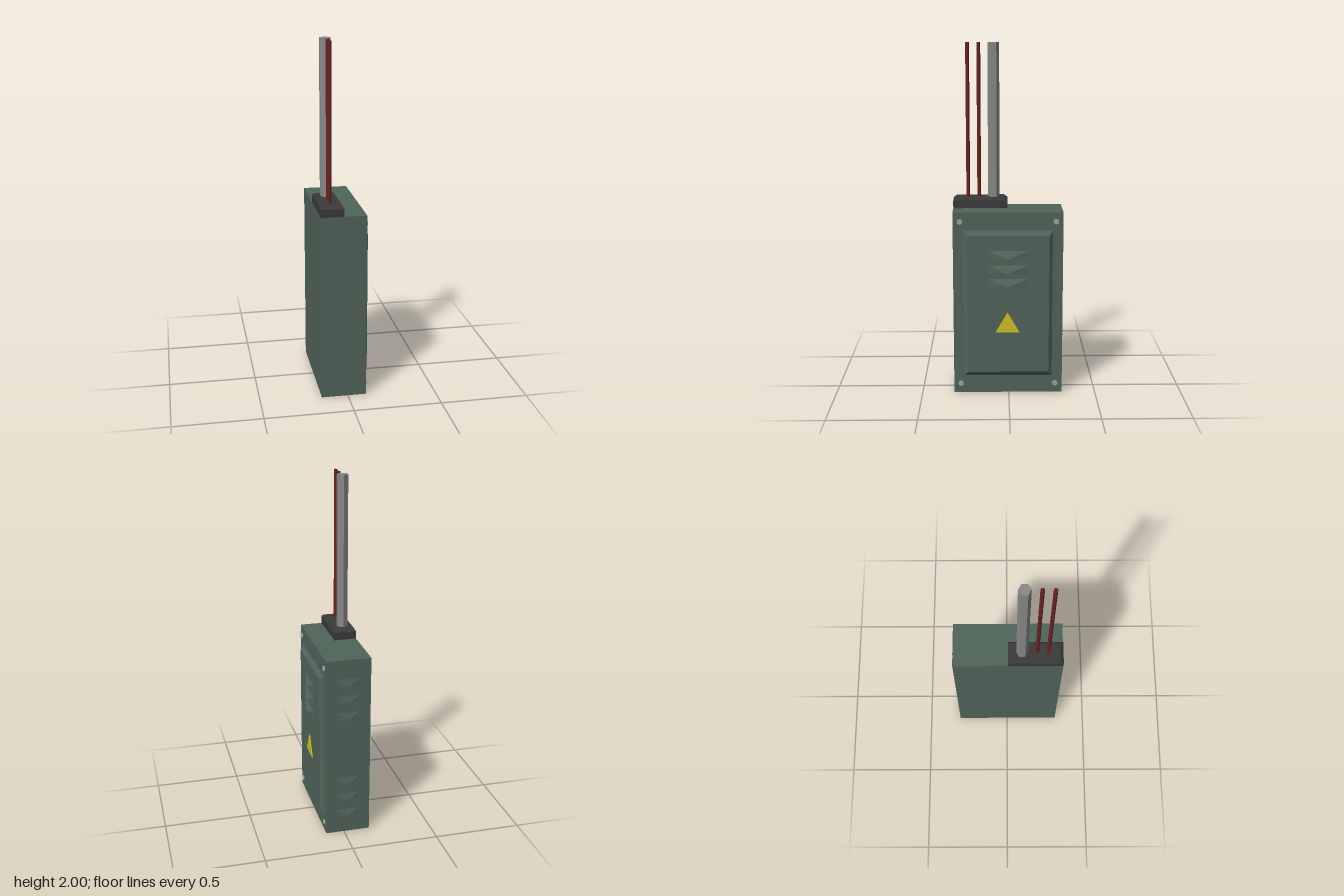
import * as THREE from 'three';

const mat = (color, extra = {}) => new THREE.MeshStandardMaterial({ color, flatShading: true, ...extra });

// Box based at z = 0 whose outer rim (z > straight) shrinks by inset
function bevelSlab(w, h, depth, insetX, insetY) {
  const g = new THREE.BoxGeometry(w, h, depth);
  g.translate(0, 0, depth / 2);
  const p = g.attributes.position;
  for (let i = 0; i < p.count; i++) {
    if (p.getZ(i) < depth / 2) continue;
    p.setX(i, p.getX(i) - Math.sign(p.getX(i)) * insetX);
    p.setY(i, p.getY(i) - Math.sign(p.getY(i)) * insetY);
  }
  g.computeVertexNormals();
  return g;
}

// Vent hood facing +z: rectangular base, single peak at the middle of its lower edge
function louverGeometry(w, h, d) {
  const a = [-w / 2, 0, 0], b = [w / 2, 0, 0], c = [w / 2, h, 0], e = [-w / 2, h, 0], tip = [0, 0, d];
  const g = new THREE.BufferGeometry();
  const faces = [a, b, tip, b, c, tip, c, e, tip, e, a, tip].flat();
  g.setAttribute('position', new THREE.Float32BufferAttribute(faces, 3));
  g.computeVertexNormals();
  return g;
}

export function createModel() {
  const model = new THREE.Group();
  const green = mat(0x50645a);
  const dark = mat(0x3a3a3a);
  const grey = mat(0x888888);
  const red = mat(0x6a2222);
  const yellow = mat(0xd0be22);
  const metal = mat(0xa0a0a0, { side: THREE.DoubleSide });
  const midZ = 0.004, sideX = 0.105, doorX = 0.125;

  const add = (name, geometry, material, x, y, z, rx = 0, ry = 0) => {
    const m = new THREE.Mesh(geometry, material);
    m.name = name;
    m.position.set(x, y, z);
    m.rotation.set(rx, ry, 0);
    model.add(m);
    return m;
  };

  // Cabinet and raised door panel
  add('cabinet', new THREE.BoxGeometry(0.255, 1.066, 0.624), green, -0.0225, 0.533, midZ);
  add('doorPanel', bevelSlab(0.506, 0.86, 0.02, 0.02, 0.028), green, sideX, 0.533, midZ, 0, Math.PI / 2);

  // Vent louvers on the door and on the back
  const doorLouver = louverGeometry(0.228, 0.044, 0.0235);
  [0.642, 0.722, 0.804].forEach((y) => add('doorLouver', doorLouver, green, doorX, y, midZ, 0, Math.PI / 2));
  const backLouver = louverGeometry(0.128, 0.044, 0.0105);
  [0.103, 0.205, 0.307, 0.71, 0.811, 0.911].forEach((y) =>
    add('backLouver', backLouver, green, -0.022, y, -0.308, 0, Math.PI));

  // Warning triangle plate
  const tri = new THREE.Shape([
    new THREE.Vector2(-0.069, 0), new THREE.Vector2(0.069, 0), new THREE.Vector2(0, 0.119),
  ]);
  add('warningPlate', new THREE.ExtrudeGeometry(tri, { depth: 0.005, bevelEnabled: false }),
    yellow, doorX, 0.37, 0.007, 0, Math.PI / 2);

  // Corner screws with a recessed socket
  const screw = new THREE.LatheGeometry([
    [0, 0.003], [0.008, 0.003], [0.009, 0.008], [0.0145, 0.008], [0.0165, 0.006], [0.0165, 0],
  ].map(([r, y]) => new THREE.Vector2(r, y)), 8);
  screw.rotateZ(-Math.PI / 2);
  for (const y of [0.054, 1.012]) {
    for (const s of [-1, 1]) add('screw', screw, metal, sideX, y, midZ + s * 0.272);
  }

  // Cable entry block: straight lower part with a bevelled cap
  add('entryBlock', new THREE.BoxGeometry(0.128, 0.044, 0.311), dark, -0.086, 1.088, 0.1605);
  add('entryCap', bevelSlab(0.128, 0.311, 0.015, 0.008, 0.02), dark, -0.086, 1.11, 0.1605, -Math.PI / 2);

  // Conduit and two cables rising from the block
  const riser = (name, r, z, material) =>
    add(name, new THREE.CylinderGeometry(r, r, 0.88, 6), material, -0.087, 1.56, z);
  riser('conduit', 0.033, 0.084, grey);
  riser('cable', 0.0108, 0.168, red);
  riser('cable', 0.0108, 0.231, red);

  return model;
}
